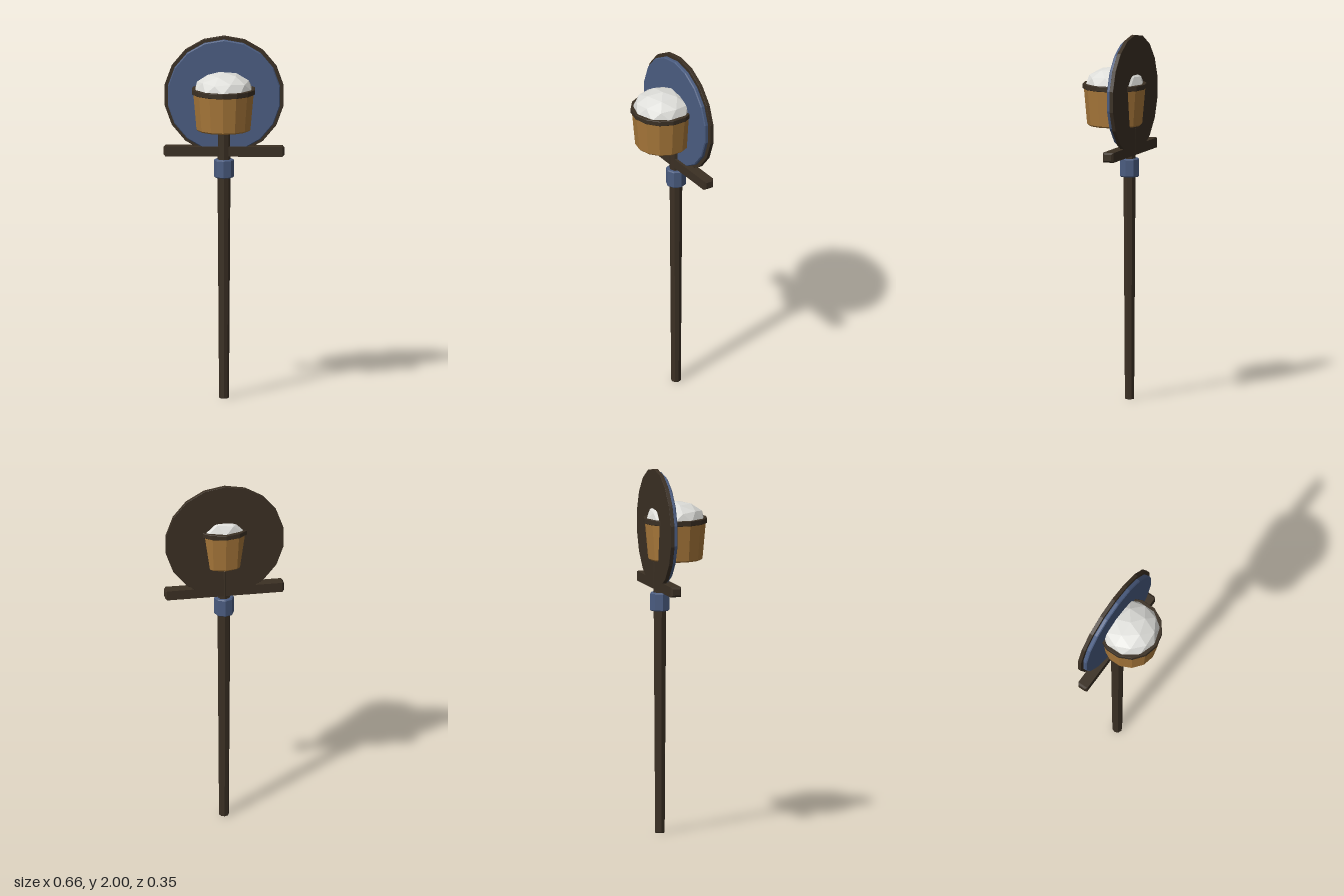
import * as THREE from 'three';

const flat = (name, color) => {
  const m = new THREE.MeshStandardMaterial({ color, flatShading: true });
  m.name = name;
  return m;
};

// Solid of revolution with small chamfers at both ends, from y = 0 to y = h
function turned(rBottom, rTop, h, sides, c) {
  const pts = [
    [0, 0], [rBottom - c, 0], [rBottom, c],
    [rTop, h - c], [rTop - c, h], [0, h],
  ].map(([x, y]) => new THREE.Vector2(x, y));
  return new THREE.LatheGeometry(pts, sides);
}

// Bar along x with chamfered edges, centred on the origin
function chamferedBar(w, h, d, c) {
  const a = h / 2 - c, b = d / 2 - c;
  const s = new THREE.Shape();
  s.moveTo(-b, -a);
  s.lineTo(b, -a);
  s.lineTo(b, a);
  s.lineTo(-b, a);
  s.closePath();
  const g = new THREE.ExtrudeGeometry(s, {
    depth: w - 2 * c, bevelEnabled: true, bevelSegments: 1, bevelSize: c, bevelThickness: c,
  });
  g.translate(0, 0, -w / 2 + c);
  g.rotateY(Math.PI / 2);
  return g;
}

export function createModel() {
  const dark = flat('dark wood', 0x3b3024);
  const blue = flat('blue paint', 0x4a5c80);
  const wood = flat('golden wood', 0xa8783a);
  const snow = flat('pale filling', 0xdededa);

  const model = new THREE.Group();
  model.name = 'bucketSignPost';
  const add = (name, geometry, material, x, y, z) => {
    const mesh = new THREE.Mesh(geometry, material);
    mesh.name = name;
    mesh.position.set(x, y, z);
    model.add(mesh);
    return mesh;
  };

  // Tapered post with collar and crossbar
  const postZ = -0.087;
  add('post', turned(0.027, 0.037, 1.49, 8, 0.003), dark, 0, 0, postZ);
  add('collar', turned(0.055, 0.055, 0.1, 8, 0.005), blue, 0, 1.222, postZ);
  add('crossbar', chamferedBar(0.656, 0.054, 0.06, 0.01), dark, 0, 1.367, -0.091);

  // Round board: dark backing with a painted face
  const discY = 1.672;
  add('boardBacking', turned(0.328, 0.328, 0.021, 18, 0.001), dark, 0, discY, -0.121)
    .rotation.x = Math.PI / 2;
  add('boardFace', turned(0.31, 0.31, 0.025, 18, 0.005), blue, 0, discY, -0.101)
    .rotation.x = Math.PI / 2;

  // Bucket with rim, passing through the board
  add('bucket', turned(0.15, 0.168, 0.215, 14, 0.008), wood, 0, 1.5, 0);
  add('bucketRim', turned(0.175, 0.175, 0.028, 14, 0.002), dark, 0, 1.702, 0);

  // Faceted heap filling the bucket, one vertex pointing up
  const heap = new THREE.IcosahedronGeometry(0.162, 1);
  heap.rotateZ(Math.atan2(1, (1 + Math.sqrt(5)) / 2));
  heap.scale(1, 0.59, 1);
  add('heap', heap, snow, 0, 1.724, 0);

  return model;
}
